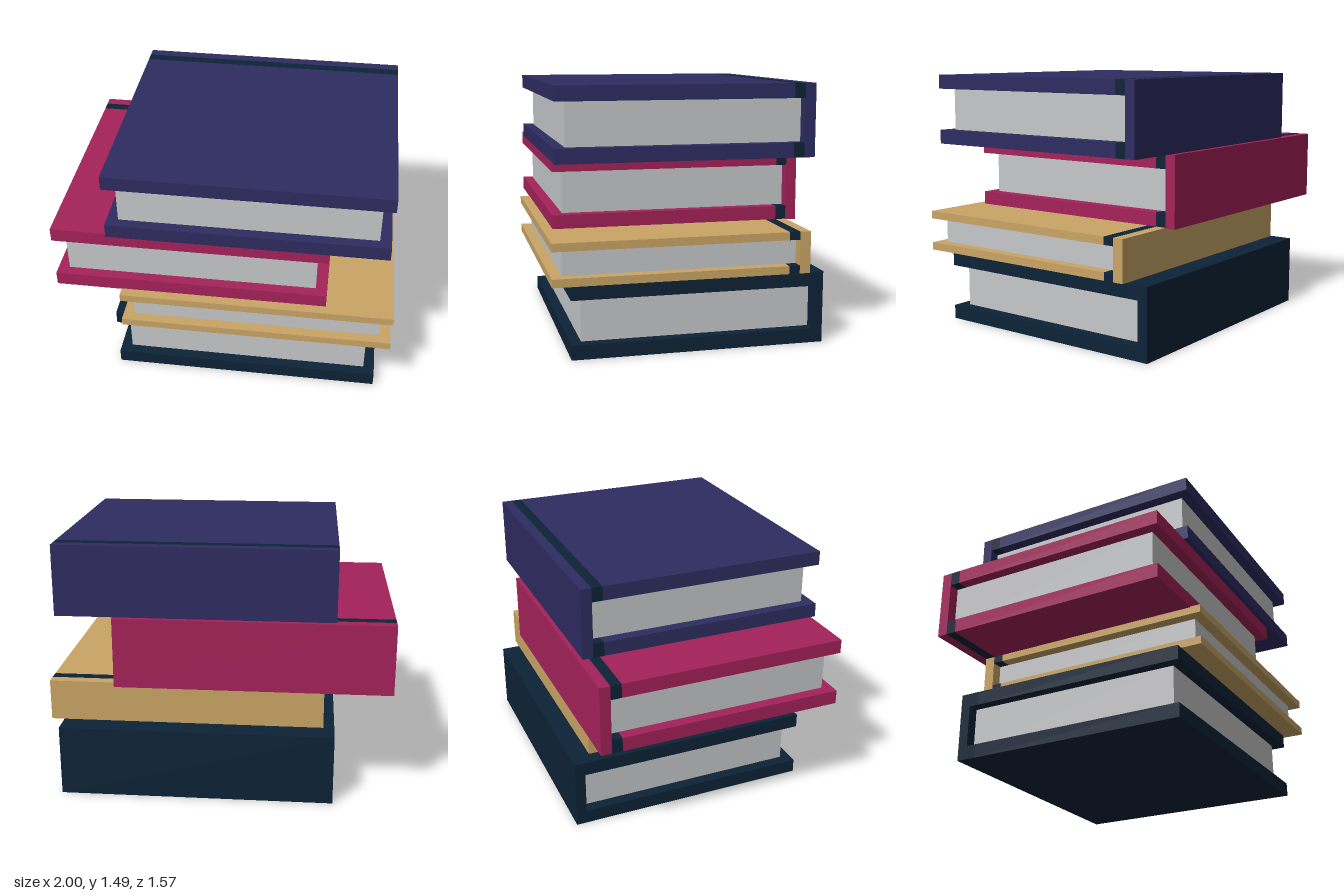
import * as THREE from 'three';

const material = (name, color) => {
  const m = new THREE.MeshStandardMaterial({ color });
  m.name = name;
  return m;
};

export function createModel() {
  const indigo = material('indigo cloth', 0x2e2c61);
  const crimson = material('crimson cloth', 0xa5225a);
  const tan = material('tan cloth', 0xcaa566);
  const navy = material('navy cloth', 0x0d2337);
  const paper = material('paper', 0xc7c8ca);

  // box given by its extents on each axis
  function block(parent, name, mat, [x0, x1], [y0, y1], [z0, z1]) {
    const mesh = new THREE.Mesh(new THREE.BoxGeometry(x1 - x0, y1 - y0, z1 - z0), mat);
    mesh.position.set((x0 + x1) / 2, (y0 + y1) / 2, (z0 + z1) / 2);
    mesh.name = name;
    parent.add(mesh);
  }

  // one hardback lying flat, spine towards the back
  function book({ name, cloth, x, y, z, cover }) {
    const group = new THREE.Group();
    group.name = name;
    const board = 0.0625; // spine thickness, hinge width and cover overhang
    const spineFront = z[0] + board;
    const hingeFront = spineFront + board;
    block(group, 'spine', cloth, x, y, [z[0], spineFront]);
    for (const [side, span] of [
      ['bottom', [y[0], y[0] + cover]],
      ['top', [y[1] - cover, y[1]]],
    ]) {
      block(group, side + 'Hinge', navy, x, span, [spineFront, hingeFront]);
      block(group, side + 'Cover', cloth, x, span, [hingeFront, z[1]]);
    }
    block(group, 'pages', paper, [x[0] + 0.066, x[1] - 0.066],
      [y[0] + cover, y[1] - cover], [spineFront, z[1] - board]);
    return group;
  }

  const model = new THREE.Group();
  model.name = 'bookStack';
  model.add(
    book({ name: 'navyBook', cloth: navy, x: [-0.674, 0.931], y: [0, 0.418], z: [-0.785, 0.676], cover: 0.083 }),
    book({ name: 'tanBook', cloth: tan, x: [-0.609, 0.998], y: [0.43, 0.67], z: [-0.675, 0.786], cover: 0.046 }),
    book({ name: 'crimsonBook', cloth: crimson, x: [-1, 0.605], y: [0.666, 1.079], z: [-0.735, 0.726], cover: 0.083 }),
    book({ name: 'indigoBook', cloth: indigo, x: [-0.667, 0.94], y: [1.08, 1.494], z: [-0.709, 0.752], cover: 0.083 }),
  );
  return model;
}
